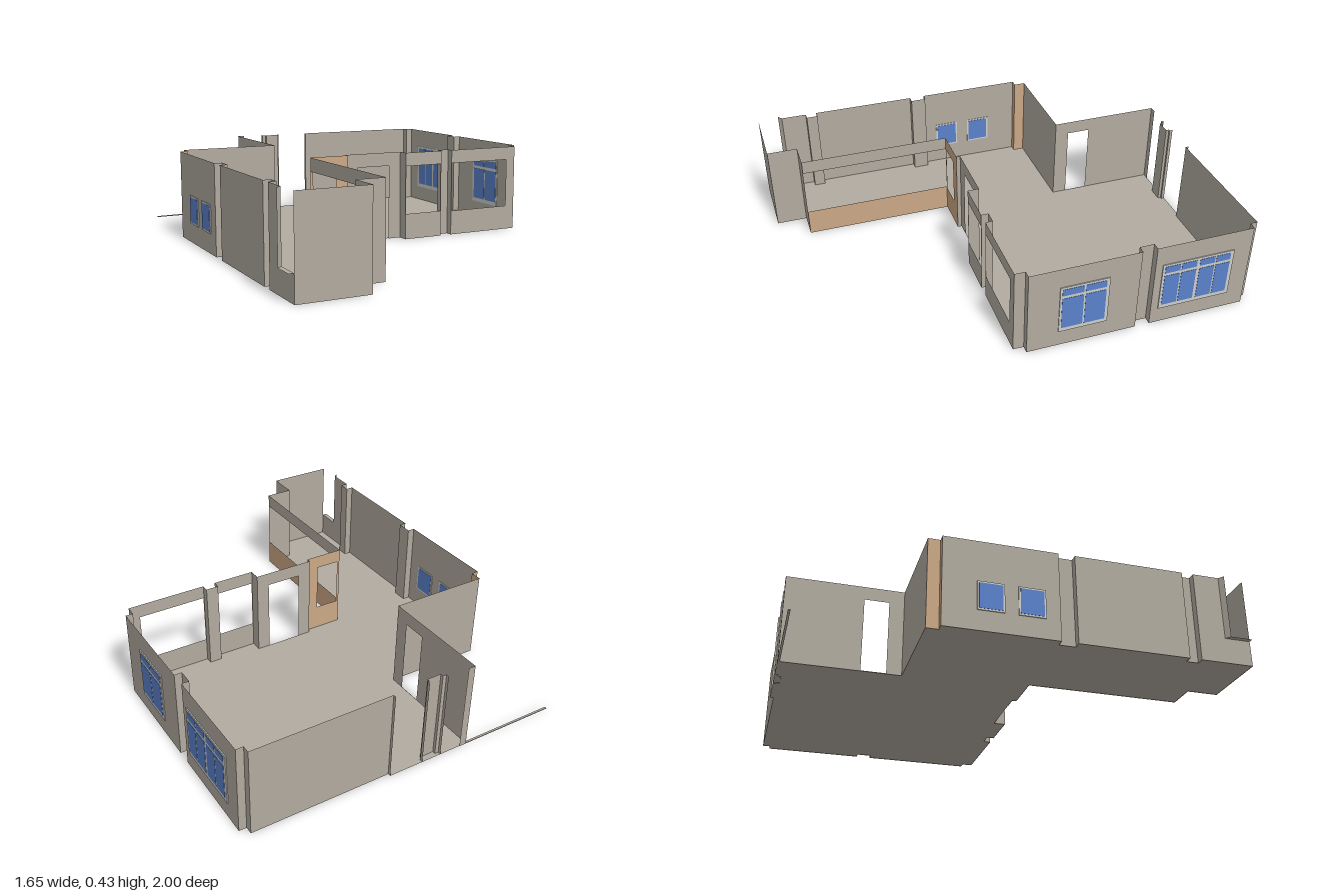
import * as THREE from 'three';

const H = 0.425, HEAD = 0.36, SILL = 0.125;

export function createModel() {
  const model = new THREE.Group();
  model.name = 'roomShell';
  const mat = (name, color) => {
    const m = new THREE.MeshStandardMaterial({ color, side: THREE.DoubleSide });
    m.name = name;
    return m;
  };
  const plaster = mat('warm grey plaster', 0xb2aba0);
  const timber = mat('tan panelling', 0xcba886);
  const glass = mat('blue glass', 0x5b82cc);
  const frame = mat('pale window frame', 0xcfcfcb);

  const add = (name, geo, material, parent = model) => {
    const m = new THREE.Mesh(geo, material);
    m.name = name;
    parent.add(m);
    return m;
  };
  const rect = (T, x0, y0, x1, y1) => {
    const s = new T();
    s.moveTo(x0, y0); s.lineTo(x1, y0); s.lineTo(x1, y1); s.lineTo(x0, y1); s.closePath();
    return s;
  };

  // Upright sheet from a to b ([x, z]); holes are [from, y0, to, y1] along it
  function wall(name, a, b, { y0 = 0, y1 = H, holes = [], material = plaster } = {}) {
    const dx = b[0] - a[0], dz = b[1] - a[1];
    const shape = rect(THREE.Shape, 0, y0, Math.hypot(dx, dz), y1);
    holes.forEach(h => shape.holes.push(rect(THREE.Path, ...h)));
    const m = add(name, new THREE.ShapeGeometry(shape), material);
    m.position.set(a[0], 0, a[1]);
    m.rotation.y = -Math.atan2(dz, dx);
    return m;
  }
  // Continuous run of plain full-height walls
  const run = (name, pts, opts) => {
    for (let i = 1; i < pts.length; i++) wall(name, pts[i - 1], pts[i], opts);
  };

  // Floor
  const outline = [
    [-0.29, -1], [0.12, -1], [0.12, -0.985], [0.785, -0.985], [0.785, -0.95], [0.82, -0.95],
    [0.82, -0.48], [0.785, -0.48], [0.785, -0.41], [0.82, -0.41], [0.82, 0.11], [0.785, 0.11],
    [0.785, 0.16], [0.405, 0.16], [0.405, 0.125], [0.345, 0.125], [0.345, 0.16], [0.143, 0.16],
    [0.143, 0.105], [-0.155, 0.105], [-0.155, 0.125], [-0.345, 0.125], [-0.345, 0.853], [-0.48, 0.853],
    [-0.48, 1], [-0.805, 1], [-0.805, 0.755], [-0.77, 0.755], [-0.77, 0.70], [-0.805, 0.70],
    [-0.805, 0.19], [-0.77, 0.19], [-0.77, 0.115], [-0.805, 0.115], [-0.805, -0.40], [-0.77, -0.40],
    [-0.77, -0.455], [-0.29, -0.455],
  ];
  const floorShape = new THREE.Shape(outline.map(([x, z]) => new THREE.Vector2(x, -z)));
  const floor = add('floor', new THREE.ShapeGeometry(floorShape), plaster);
  floor.rotation.x = -Math.PI / 2;
  floor.position.y = 0.002;
  const strip = add('thresholdStrip', new THREE.BoxGeometry(0.48, 0.004, 0.01), plaster);
  strip.position.set(-0.53, 0.002, -0.995);

  // Back wall, free-standing column and corner return
  run('backWall', [[0.12, -1], [0.12, -0.985], [0.785, -0.985], [0.785, -0.95], [0.82, -0.95]]);
  run('backColumn', [[-0.148, -1], [-0.148, -0.985], [-0.13, -0.985], [-0.13, -0.97],
    [-0.06, -0.97], [-0.06, -0.985], [-0.05, -0.985], [-0.05, -1]]);
  wall('backCornerReturn', [-0.29, -1], [-0.255, -1]);

  // Side wall with doorway, and the recessed back wall
  wall('doorWall', [-0.29, -1], [-0.29, -0.455], { holes: [[0.36, 0.003, 0.475, HEAD]] });
  wall('recessWall', [-0.77, -0.455], [-0.29, -0.455]);

  // +x wall with pilaster recesses
  run('sideWall', [[0.82, -0.95], [0.82, -0.48], [0.785, -0.48], [0.785, -0.41],
    [0.82, -0.41], [0.82, 0.11], [0.785, 0.11], [0.785, 0.16]]);

  // Front wall with large openings
  wall('frontWall', [0.405, 0.16], [0.785, 0.16], { holes: [[0.003, 0.12, 0.33, HEAD]] });
  run('frontPilaster', [[0.405, 0.16], [0.405, 0.125], [0.345, 0.125], [0.345, 0.16]]);
  wall('frontWall', [0.143, 0.16], [0.345, 0.16], { holes: [[0.003, SILL, 0.199, HEAD]] });
  wall('entranceReturn', [0.143, 0.105], [0.143, 0.16]);
  wall('entrancePier', [-0.155, 0.105], [-0.09, 0.105]);
  wall('entrancePier', [0.08, 0.105], [0.143, 0.105]);
  wall('entranceHeader', [-0.09, 0.105], [0.08, 0.105], { y0: HEAD });
  wall('entranceReturn', [-0.155, 0.105], [-0.155, 0.125]);

  // Tan panelled corner and the long low counter wall
  wall('panelledWall', [-0.345, 0.125], [-0.155, 0.125],
    { holes: [[0.013, SILL, 0.13, HEAD]], material: timber });
  wall('counterWall', [-0.345, 0.125], [-0.345, 0.853], { y1: 0.13, material: timber });
  wall('counterHeader', [-0.345, 0.125], [-0.345, 0.853], { y0: HEAD });
  run('panelledPier', [[-0.77, -0.455], [-0.77, -0.40], [-0.805, -0.40]], { material: timber });

  // Front wing
  run('wingWall', [[-0.345, 0.853], [-0.48, 0.853], [-0.48, 1], [-0.805, 1]]);

  // -x wall with pilaster recesses and the open bay at its front end
  run('farSideWall', [[-0.805, 0.88], [-0.805, 0.755], [-0.77, 0.755], [-0.77, 0.70], [-0.805, 0.70],
    [-0.805, 0.19], [-0.77, 0.19], [-0.77, 0.115], [-0.805, 0.115], [-0.805, -0.40]]);
  wall('bayLowWall', [-0.805, 1], [-0.805, 0.88], { y1: 0.12 });
  wall('bayReveal', [-0.805, 0.88], [-0.828, 0.897], { y0: 0.12 });
  const sillShape = new THREE.Shape([[-0.805, -1], [-0.805, -0.88], [-0.828, -0.897], [-0.828, -1]]
    .map(p => new THREE.Vector2(...p)));
  const baySill = add('baySill', new THREE.ShapeGeometry(sillShape), plaster);
  baySill.rotation.x = -Math.PI / 2;
  baySill.position.y = 0.12;

  // Windows: thin frame plate with slightly prouder panes, seen from both sides
  function makeWindow(name, x, z0, z1, y0, y1, panes) {
    const g = new THREE.Group();
    g.name = name;
    model.add(g);
    const plate = (n, t, a, b, c, d, m) => {
      const p = add(n, new THREE.BoxGeometry(t, d - c, b - a), m, g);
      p.position.set(x, (c + d) / 2, (a + b) / 2);
    };
    plate('windowFrame', 0.007, z0, z1, y0, y1, frame);
    panes.forEach(p => plate('windowPane', 0.0095, ...p, glass));
  }
  const sidePanes = spans => spans.flatMap(([a, b]) => [[a, b, 0.1, 0.265], [a, b, 0.28, 0.315]]);
  makeWindow('singleWindow', 0.821, -0.265, -0.035, 0.08, 0.326,
    sidePanes([[-0.25, -0.153], [-0.145, -0.045]]));
  makeWindow('doubleWindow', 0.821, -0.865, -0.515, 0.08, 0.326,
    sidePanes([[-0.848, -0.778], [-0.771, -0.697], [-0.682, -0.608], [-0.601, -0.527]]));
  for (const z of [-0.25, -0.07])
    makeWindow('smallWindow', -0.806, z, z + 0.12, 0.095, 0.23, [[z + 0.008, z + 0.112, 0.103, 0.222]]);

  return model;
}
